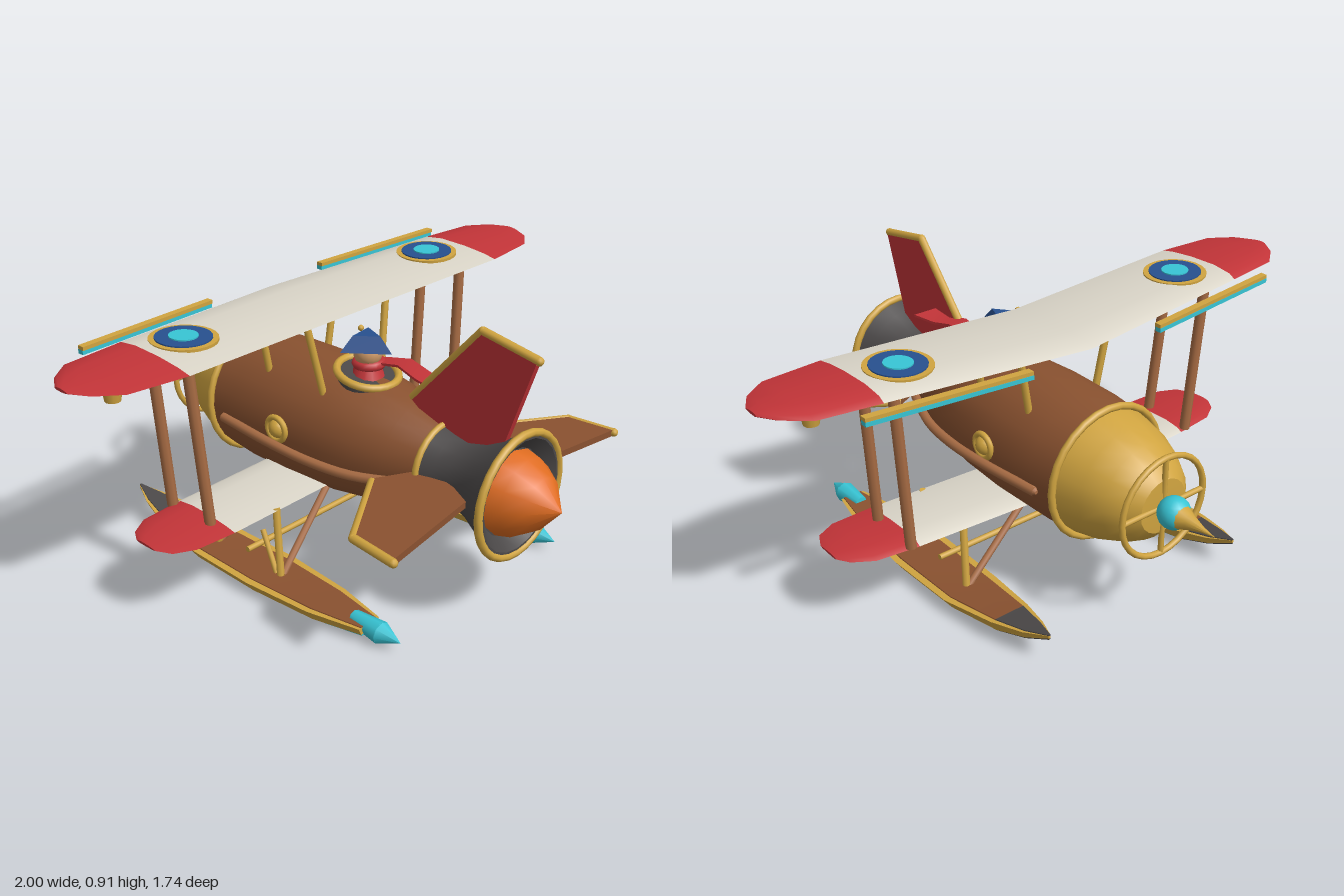
import * as THREE from 'three';
import { toCreasedNormals } from 'three/addons/utils/BufferGeometryUtils.js';

const paint = (name, color) => Object.assign(new THREE.MeshStandardMaterial({ color }), { name });
const V = (x, y, z) => new THREE.Vector3(x, y, z);
const AXIS = 0.425; // height of the fuselage axis

export function createModel() {
  const model = new THREE.Group();
  model.name = 'seaplane';
  const brown = paint('hullBrown', 0x8a5230), white = paint('canvasWhite', 0xdad5c8);
  const red = paint('red', 0xc23438), gold = paint('brass', 0xd0a440);
  const dark = paint('darkIron', 0x4b4848), orange = paint('flameOrange', 0xdf6c20);
  const blue = paint('blue', 0x28508f), cyan = paint('cyan', 0x38c5d5);
  const copper = paint('copper', 0xa86c44), skin = paint('skin', 0xcf9a68);

  const add = (name, geo, mat, x = 0, y = 0, z = 0) => {
    const m = new THREE.Mesh(geo, mat);
    m.name = name;
    m.position.set(x, y, z);
    model.add(m);
    return m;
  };
  // Round part along z from [z, radius] pairs
  const turned = (name, pts, mat, seg = 20) => add(name, toCreasedNormals(
    new THREE.LatheGeometry(pts.map(([z, r]) => new THREE.Vector2(r, z)), seg).rotateX(Math.PI / 2), 0.6), mat, 0, AXIS, 0);
  const hoop = (name, z, r, t, mat = gold) => add(name, new THREE.TorusGeometry(r, t, 8, 28), mat, 0, AXIS, z);
  const rod = (name, a, b, r, mat, r2 = r) => {
    const m = add(name, new THREE.CylinderGeometry(r2, r, a.distanceTo(b), 8), mat);
    m.position.copy(a).add(b).multiplyScalar(0.5);
    m.quaternion.setFromUnitVectors(V(0, 1, 0), b.clone().sub(a).normalize());
    return m;
  };
  // Closed skin through equal-length rings of points, wound outward
  const loft = (name, rings, mat, crease = 0.7) => {
    const tris = [], n = rings[0].length, last = rings.length - 1;
    for (let i = 0; i < last; i++) for (let j = 0; j < n; j++) {
      const k = (j + 1) % n, a = rings[i], b = rings[i + 1];
      tris.push([a[j], b[j], b[k]], [a[j], b[k], a[k]]);
    }
    for (let j = 1; j < n - 1; j++) {
      tris.push([rings[0][0], rings[0][j], rings[0][j + 1]], [rings[last][0], rings[last][j + 1], rings[last][j]]);
    }
    const c = rings[0][0];
    const vol = tris.reduce((s, [p, q, r]) =>
      s + p.clone().sub(c).dot(q.clone().sub(c).cross(r.clone().sub(c))), 0);
    const geo = new THREE.BufferGeometry().setFromPoints(tris.flatMap(t => (vol < 0 ? [t[0], t[2], t[1]] : t)));
    return add(name, toCreasedNormals(geo, crease), mat);
  };

  // Fuselage, nose and engine bell
  turned('fuselage', [[-0.41, 0], [-0.41, 0.212], [-0.3, 0.222], [-0.1, 0.225], [0.08, 0.216], [0.2, 0.198], [0.32, 0.168], [0.43, 0.132], [0.43, 0]], brown);
  turned('noseDome', [[-0.665, 0], [-0.66, 0.09], [-0.63, 0.125], [-0.57, 0.162], [-0.5, 0.19], [-0.41, 0.21], [-0.41, 0]], gold);
  turned('engineBell', [[0.42, 0], [0.43, 0.137], [0.48, 0.122], [0.53, 0.112], [0.6, 0.13], [0.67, 0.167], [0.725, 0.198], [0.725, 0.18], [0.69, 0.14], [0.69, 0]], dark);
  turned('flameCone', [[0.68, 0], [0.69, 0.138], [0.74, 0.125], [0.8, 0.085], [0.87, 0]], orange, 12);
  hoop('noseHoop', -0.41, 0.22, 0.012);
  hoop('waistHoop', 0.43, 0.136, 0.011);
  hoop('bellHoop', 0.72, 0.197, 0.013);

  // Propeller: guard ring, spokes, hub and spike
  hoop('propellerRing', -0.66, 0.165, 0.01);
  for (let i = 0; i < 2; i++) {
    const d = V(i ? 0 : 0.165, i ? 0.165 : 0, 0), c = V(0, AXIS, -0.66);
    rod('propellerSpoke', c.clone().sub(d), c.clone().add(d), 0.009, gold);
  }
  add('propellerHub', new THREE.SphereGeometry(0.052, 16, 12), cyan, 0, AXIS, -0.705);
  turned('noseSpike', [[-0.87, 0], [-0.82, 0.009], [-0.77, 0.024], [-0.735, 0.04], [-0.735, 0]], gold, 12);

  // Wings: airfoil stations [x, leading z, trailing z, y, thickness scale]
  const foil = [[0, 0], [0.07, 0.6], [0.28, 1], [0.6, 0.85], [0.85, 0.45], [1, 0], [0.85, -0.45], [0.5, -0.7], [0.12, -0.6]];
  const ring = ([x, z0, z1, y, t], s = 1) => foil.map(([u, v]) => V(s * x, y + v * t, z0 + (z1 - z0) * u));
  const wing = (name, centre, joint, tips) => {
    loft(name + 'Panel', [ring(joint, -1), ring(centre), ring(joint)], white);
    for (const s of [-1, 1]) loft(name + 'Tip', [joint, ...tips].map(q => ring(q, s)), red);
  };
  wing('upperWing', [0, -0.33, 0.04, 0.815, 0.02], [0.69, -0.26, 0.075, 0.834, 0.022],
    [[0.89, -0.235, 0.055, 0.838, 0.018], [0.965, -0.175, 0.0, 0.84, 0.013], [1, -0.12, -0.06, 0.84, 0.006]]);
  wing('lowerWing', [0, -0.22, 0.06, 0.262, 0.015], [0.555, -0.195, 0.078, 0.271, 0.017],
    [[0.7, -0.18, 0.072, 0.274, 0.014], [0.765, -0.14, 0.04, 0.275, 0.01], [0.79, -0.1, -0.01, 0.275, 0.005]]);

  // Tail fin outlines share one builder: plate in the (z, height) plane, brass on the free edges
  const fin = (name, pts, mat, place, edges) => {
    const normal = place(0, 0, 1).sub(place(0, 0, 0)).multiplyScalar(0.011);
    loft(name, [-1, 1].map(k => pts.map(([z, h]) => place(z, h, 0).addScaledVector(normal, k))), mat, 0.3);
    for (const [a, b] of edges) {
      rod(name + 'Edge', place(...pts[a], 0), place(...pts[b], 0), 0.014, gold);
      add(name + 'Joint', new THREE.SphereGeometry(0.014, 8, 6), gold).position.copy(place(...pts[b], 0));
    }
  };
  fin('tailFin', [[0.3, 0.61], [0.555, 0.9], [0.755, 0.865], [0.66, 0.575], [0.55, 0.52], [0.4, 0.54]], red,
    (z, h, w) => V(w, h, z), [[0, 1], [1, 2]]);

  for (const s of [-1, 1]) {
    fin('sideFin', [[0.355, 0.245], [0.535, 0.52], [0.7, 0.538], [0.645, 0.16], [0.53, 0.1], [0.42, 0.12]], brown,
      (z, h, w) => V(s * h, AXIS + 0.005 + w, z), [[0, 1], [1, 2]]);

    // Roundel discs on the upper wing
    [['Rim', 0.105, gold, 0], ['Field', 0.087, blue, 0.004], ['Centre', 0.045, cyan, 0.008]].forEach(([n, r, m, dy]) => {
      add('roundel' + n, new THREE.CylinderGeometry(r, r, 0.009, 24), m, s * 0.55, 0.849 + dy, -0.12).rotation.z = s * 0.028;
    });

    // Leading edge slat: brass bar over a cyan one
    const bar = (name, y, z, h, d, mat) => loft(name, [[0.25, 0, -0.352], [0.785, 0.012, -0.305]].map(([x, dy, dz]) =>
      [[-1, -1], [1, -1], [1, 1], [-1, 1]].map(([p, q]) => V(s * x, y + dy + q * h, z + dz + p * d))), mat, 0.3);
    bar('slatTop', 0.825, 0.002, 0.006, 0.012, gold);
    bar('slatBlade', 0.812, 0, 0.007, 0.011, cyan);

    // Lantern under the wing tip
    add('lanternCap', new THREE.CylinderGeometry(0.035, 0.035, 0.02, 12), gold, s * 0.83, 0.797, -0.1);
    add('lanternCup', new THREE.CylinderGeometry(0.03, 0.024, 0.04, 12), gold, s * 0.83, 0.77, -0.1);
    add('lanternStem', new THREE.CylinderGeometry(0.01, 0.01, 0.03, 8), gold, s * 0.83, 0.815, -0.1);

    // Wing struts
    rod('wingStrut', V(s * 0.58, 0.275, -0.005), V(s * 0.62, 0.825, -0.025), 0.018, copper);
    rod('wingStrut', V(s * 0.58, 0.275, -0.185), V(s * 0.62, 0.825, -0.195), 0.018, copper);
    for (const [z0, z1] of [[0.045, 0.02], [-0.2, -0.205]]) {
      rod('cabaneStrut', V(s * 0.135, 0.58, z0), V(s * 0.18, 0.815, z1), 0.012, gold);
    }

    // Exhaust pipe along the flank
    const pipe = new THREE.CatmullRomCurve3([V(s * 0.225, 0.405, -0.34), V(s * 0.245, 0.402, -0.1),
      V(s * 0.24, 0.395, 0.08), V(s * 0.215, 0.395, 0.24), V(s * 0.15, 0.41, 0.42)]);
    add('exhaustPipe', new THREE.TubeGeometry(pipe, 20, 0.016, 8), copper);
    rod('exhaustTip', V(s * 0.225, 0.405, -0.345), V(s * 0.225, 0.405, -0.33), 0.006, copper, 0.016);

    // Porthole
    add('portholeRim', new THREE.TorusGeometry(0.04, 0.01, 8, 20), gold, s * 0.226, 0.45, -0.08).rotation.y = Math.PI / 2;
    add('portholeDome', new THREE.SphereGeometry(0.034, 14, 10), gold, s * 0.215, 0.45, -0.08);

    // Float: stations [z, half width, bottom y, top y]
    const hull = [[0.48, 0.045, 0.026, 0.052], [0.3, 0.085, 0.012, 0.05], [0.05, 0.105, 0.008, 0.05],
      [-0.22, 0.1, 0.012, 0.052], [-0.42, 0.07, 0.036, 0.075], [-0.53, 0.04, 0.066, 0.091], [-0.61, 0.004, 0.098, 0.108]];
    const cx = s * 0.39;
    const slab = (name, list, mat) => loft(name, list.map(([z, wb, wt, y0, y1]) =>
      [V(cx - wb, y0, z), V(cx + wb, y0, z), V(cx + wt, y1, z), V(cx - wt, y1, z)]), mat, 0.4);
    slab('floatHull', hull.map(([z, w, a, b]) => [z, w * 0.72, w, a, b]), gold);
    const deck = hull.map(([z, w, , b]) => [z, w * 0.78, w * 0.76, b - 0.002, b + 0.003]);
    const keel = hull.map(([z, w, a]) => [z, w * 0.66, w * 0.7, a - 0.004, a + 0.002]);
    slab('floatDeck', deck.slice(0, 5), brown);
    slab('floatBowDeck', deck.slice(4), dark);
    slab('floatKeel', keel.slice(0, 5), cyan);
    slab('floatBowKeel', keel.slice(4), dark);

    // Float rudder
    rod('rudderBody', V(cx, 0.047, 0.42), V(cx, 0.042, 0.53), 0.024, cyan, 0.036);
    rod('rudderTip', V(cx, 0.042, 0.53), V(cx, 0.042, 0.605), 0.036, cyan, 0.001);

    // Float struts
    for (const [z0, z1] of [[0.06, 0.1], [-0.155, -0.2]]) {
      rod('floatStrut', V(s * 0.365, 0.27, z0), V(s * 0.39, 0.045, z1), 0.013, gold);
      rod('floatBrace', V(s * 0.13, 0.25, z0 - 0.01), V(s * 0.38, 0.05, z1), 0.012, copper);
    }
    rod('floatKneeBrace', V(cx, 0.05, 0.08), V(s * 0.37, 0.17, -0.0), 0.009, gold);
  }
  rod('floatCrossbar', V(-0.39, 0.08, -0.055), V(0.39, 0.08, -0.055), 0.01, gold);

  // Cockpit rim and well
  const rim = add('cockpitRim', new THREE.TorusGeometry(0.1, 0.013, 8, 28), gold, 0, 0.637, 0.11);
  rim.rotation.x = Math.PI / 2 + 0.18;
  add('cockpitWell', new THREE.CylinderGeometry(0.1, 0.1, 0.05, 24), dark, 0, 0.61, 0.11).rotation.x = 0.18;

  // Pilot
  add('pilotBody', new THREE.CylinderGeometry(0.035, 0.06, 0.06, 12), red, 0, 0.645, 0.11);
  add('pilotHead', new THREE.SphereGeometry(0.047, 16, 12), skin, 0, 0.705, 0.11);
  const hat = add('pilotHat', new THREE.CylinderGeometry(0.05, 0.094, 0.05, 3).toNonIndexed(), blue, -0.01, 0.748, 0.115);
  hat.geometry.computeVertexNormals();
  hat.rotation.y = 0.15;
  add('hatPin', new THREE.SphereGeometry(0.01, 8, 6), gold, 0.015, 0.77, 0.065);
  const collar = add('scarfCollar', new THREE.TorusGeometry(0.04, 0.016, 8, 16), red, 0.005, 0.668, 0.11);
  collar.rotation.x = Math.PI / 2;
  const scarf = [[0.03, 0.672, 0.13, 0.03], [0.05, 0.684, 0.22, 0.034], [0.025, 0.675, 0.32, 0.036], [0.035, 0.662, 0.39, 0.04], [0.055, 0.668, 0.47, 0.044]];
  loft('scarf', scarf.map(([x, y, z, w]) =>
    [V(x - w, y - 0.004, z), V(x + w, y - 0.004, z), V(x + w, y + 0.004, z), V(x - w, y + 0.004, z)]), red);

  return model;
}
